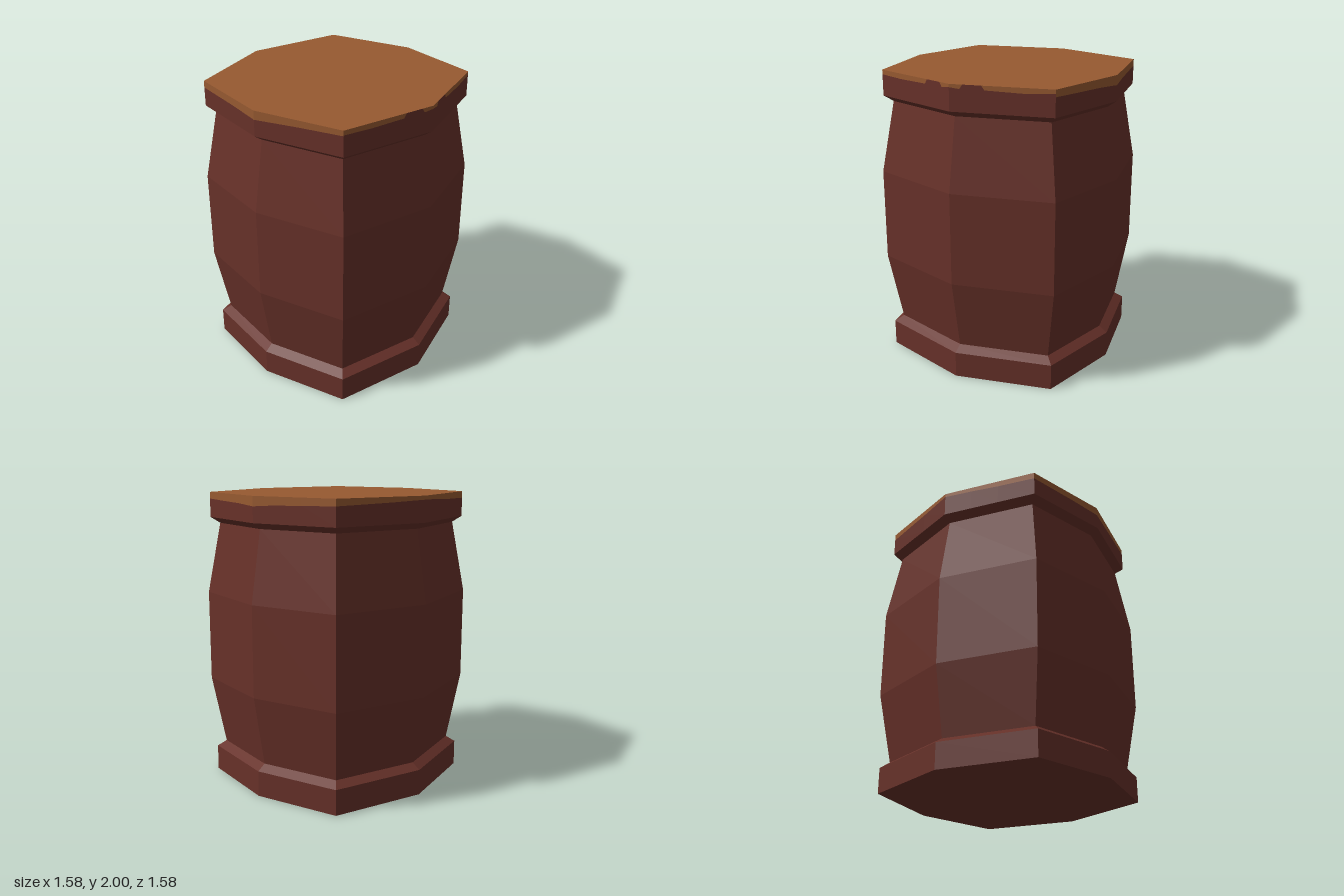
import * as THREE from 'three';

const wood = new THREE.MeshStandardMaterial({ color: 0x673129, flatShading: true });
wood.name = 'dark red wood';
const lidWood = new THREE.MeshStandardMaterial({ color: 0x975a31, flatShading: true });
lidWood.name = 'light lid wood';

// Eight corners of the unit section, running from +x towards +z
const P = 0.829, Q = 0.778;
const corners = [[1, 0], [P, Q], [0, 1], [-P, Q], [-1, 0], [-P, -Q], [0, -1], [P, -Q]];
const RIM = 0.765, TOP = 2, RIM_LOW = 1.83;

// Point on side i at fraction t, at radius r and height y
function at(i, t, r, y) {
  const a = corners[i % 8], b = corners[(i + 1) % 8];
  return new THREE.Vector3((a[0] + (b[0] - a[0]) * t) * r, y, (a[1] + (b[1] - a[1]) * t) * r);
}

function makeMesh(name, triangles, material) {
  const g = new THREE.BufferGeometry().setFromPoints(triangles);
  g.computeVertexNormals();
  const mesh = new THREE.Mesh(g, material);
  mesh.name = name;
  return mesh;
}

// Outward quad from low corners a, b and high corners c (above a), d (above b)
function quad(out, a, b, c, d) {
  if (a.distanceTo(c) > 1e-5) out.push(a, c, d);
  if (b.distanceTo(d) > 1e-5) out.push(a, d, b);
}

// Stacked eight-sided bands through [radius, height] rings
function bands(name, rings) {
  const out = [];
  for (let k = 0; k < rings.length - 1; k++) {
    const [r0, y0] = rings[k], [r1, y1] = rings[k + 1];
    for (let i = 0; i < 8; i++) {
      quad(out, at(i, 0, r0, y0), at(i, 1, r0, y0), at(i, 0, r1, y1), at(i, 1, r1, y1));
    }
  }
  return makeMesh(name, out, wood);
}

function cap(name, y, up, material) {
  const out = [], c = new THREE.Vector3(0, y, 0);
  for (let i = 0; i < 8; i++) {
    const a = at(i, 0, RIM, y), b = at(i, 1, RIM, y);
    out.push(c, up ? b : a, up ? a : b);
  }
  return makeMesh(name, out, material);
}

// Depth of the light wood down each rim side: [fraction along side, depth]
const edges = [
  [[0, 0.065], [0.3, 0.055], [0.7, 0.05], [1, 0.045]],
  [[0, 0.025], [0.3, 0.035], [0.66, 0.028], [0.69, 0], [0.87, 0], [0.9, 0.028], [1, 0.02]],
  [[0, 0.02], [0.1, 0.028], [0.13, 0], [0.31, 0], [0.34, 0.03], [0.7, 0.035], [1, 0.03]],
  [[0, 0.035], [0.5, 0.045], [1, 0.06]],
  [[0, 0.06], [0.4, 0.05], [1, 0.045]],
  [[0, 0.045], [0.4, 0.04], [0.7, 0.03], [1, 0.025]],
  [[0, 0.025], [0.4, 0.035], [1, 0.045]],
  [[0, 0.045], [0.4, 0.05], [0.75, 0.055], [1, 0.065]],
];

export function createModel() {
  const model = new THREE.Group();
  model.name = 'barrel';

  model.add(bands('bottomHoop', [[RIM, 0], [RIM, 0.175], [0.708, 0.215]]));
  model.add(bands('barrelBody', [[0.708, 0.215], [0.79, 0.69], [0.79, 1.31], [0.708, 1.79]]));
  model.add(bands('topHoopUnderside', [[0.708, 1.79], [RIM, RIM_LOW]]));

  // Top hoop, split along the ragged edge of the light wood
  const low = [], high = [];
  edges.forEach((edge, i) => {
    for (let k = 0; k < edge.length - 1; k++) {
      const [t0, d0] = edge[k], [t1, d1] = edge[k + 1];
      const m0 = at(i, t0, RIM, TOP - d0), m1 = at(i, t1, RIM, TOP - d1);
      quad(low, at(i, t0, RIM, RIM_LOW), at(i, t1, RIM, RIM_LOW), m0, m1);
      quad(high, m0, m1, at(i, t0, RIM, TOP), at(i, t1, RIM, TOP));
    }
  });
  model.add(makeMesh('topHoop', low, wood));
  model.add(makeMesh('lidEdge', high, lidWood));

  model.add(cap('lid', TOP, true, lidWood));
  model.add(cap('barrelBottom', 0, false, wood));
  return model;
}
